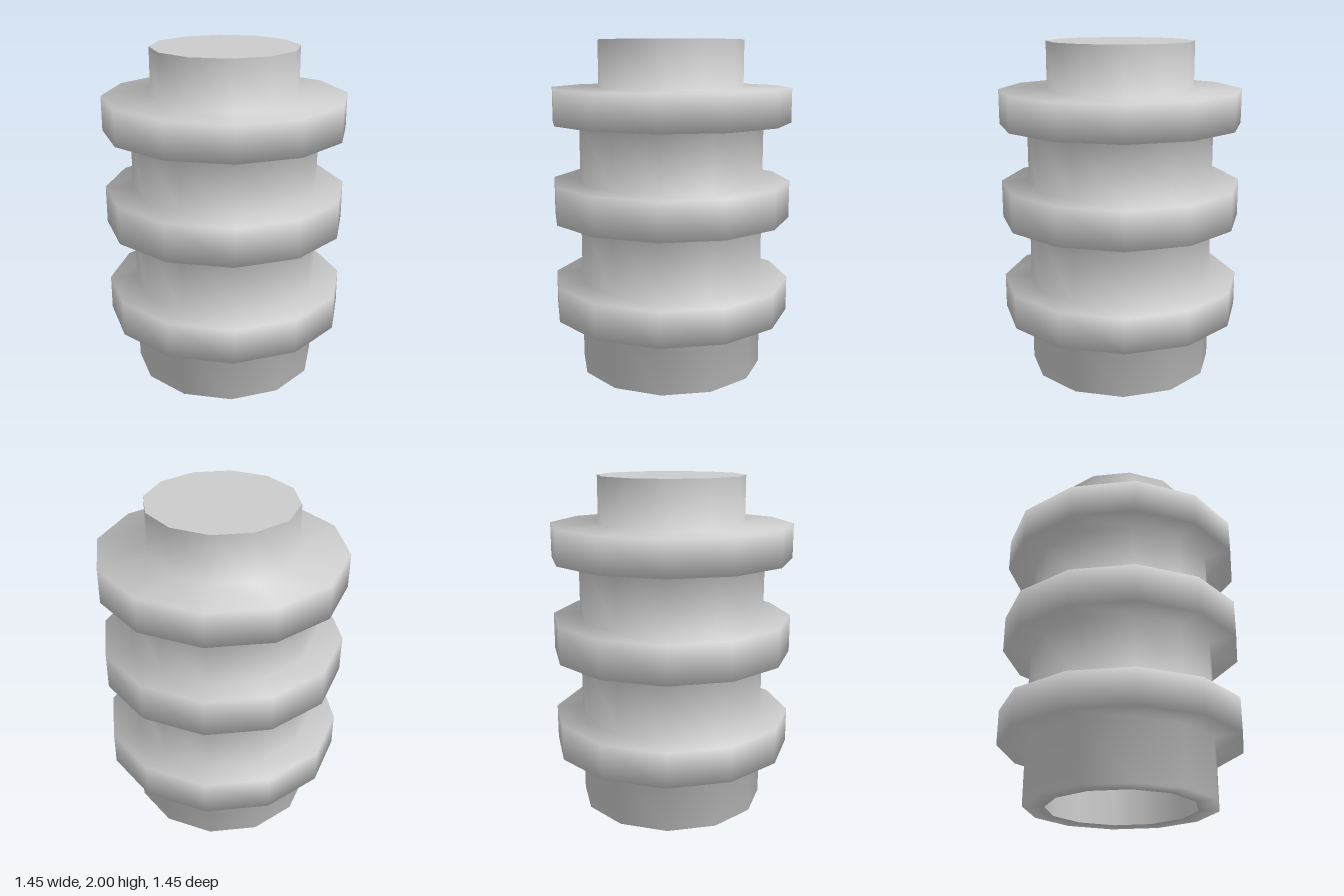
import * as THREE from 'three';

const SIDES = 12;
const STUD = 0.437, BODY = 0.56, FLANGE = 0.724, TOP = 2;

export function createModel() {
  const group = new THREE.Group();
  group.name = 'ribbedSleeve';
  const material = new THREE.MeshStandardMaterial({ color: 0xcccccc });

  const add = (name, geometry) => {
    const mesh = new THREE.Mesh(geometry, material);
    mesh.name = name;
    group.add(mesh);
    return mesh;
  };
  const lathe = (pairs) =>
    new THREE.LatheGeometry(pairs.map(([r, y]) => new THREE.Vector2(r, y)), SIDES);

  // Outer body: bottom rim, three square ribs, narrower neck on top
  const profile = [[STUD, 0], [BODY, 0]];
  for (const [low, high] of [[0.35, 0.56], [0.94, 1.165], [1.515, 1.72]]) {
    const above = high > 1.7 ? STUD : BODY;
    profile.push([BODY, low], [FLANGE, low], [FLANGE, high], [above, high]);
  }
  profile.push([STUD, TOP]);
  add('ribbedBody', lathe(profile));

  // Hollow bore, open at the bottom
  add('boreWall', lathe([[STUD, TOP - 0.01], [STUD, 0]]));
  add('boreCeiling', lathe([[0, TOP - 0.01], [STUD, TOP - 0.01]]));

  // Flat lid closing the neck
  const lid = add('neckLid', new THREE.CircleGeometry(STUD, SIDES));
  lid.rotation.x = -Math.PI / 2;
  lid.position.y = TOP;

  return group;
}
